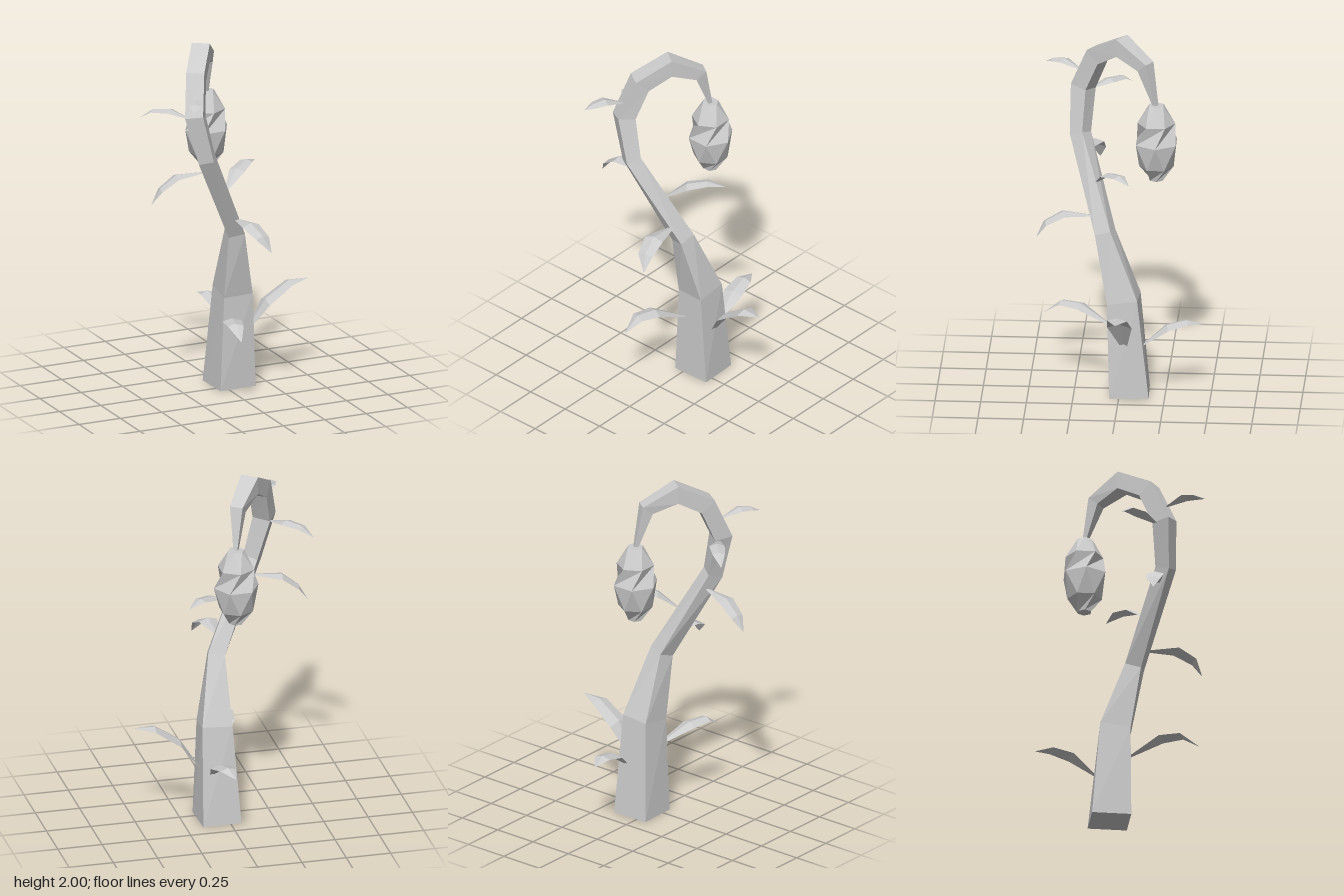
import * as THREE from 'three';

const material = new THREE.MeshStandardMaterial({ color: 0xcccccc, flatShading: true });
const leafMaterial = new THREE.MeshStandardMaterial({ color: 0xcccccc, flatShading: true, side: THREE.DoubleSide });
const V = (x, y, z) => new THREE.Vector3(x, y, z);

function build(points, index, mat, name) {
  const indexed = new THREE.BufferGeometry().setFromPoints(points);
  indexed.setIndex(index);
  const geometry = indexed.toNonIndexed();
  geometry.computeVertexNormals();
  const mesh = new THREE.Mesh(geometry, mat);
  mesh.name = name;
  return mesh;
}

// Skin a list of equal-sized rings (counter-clockwise about the path) and cap both ends
function loft(rings, name) {
  const n = rings[0].length, index = [];
  for (let r = 0; r < rings.length - 1; r++) {
    for (let i = 0; i < n; i++) {
      const a = r * n + i, b = r * n + (i + 1) % n;
      index.push(a, b, b + n, a, b + n, a + n);
    }
  }
  const last = (rings.length - 1) * n;
  for (let i = 1; i < n - 1; i++) {
    index.push(0, i + 1, i, last, last + i, last + i + 1);
  }
  return build(rings.flat(), index, material, name);
}

// Four-sided stem: x, y, z, half width, yaw of the side direction
function makeStem() {
  const path = [
    [0.052, 0, -0.053, 0.108, -0.03],
    [0.058, 0.55, -0.022, 0.084, 0.05],
    [0.022, 0.92, 0.082, 0.046, 0.2],
    [-0.218, 1.41, 0.232, 0.042, 0.5],
    [-0.283, 1.66, 0.22, 0.05, 0.57],
    [-0.24, 1.86, 0.14, 0.05, 0.57],
    [-0.145, 1.95, 0.0, 0.05, 0.57],
    [-0.045, 1.87, -0.135, 0.036, 0.57],
    [-0.018, 1.64, -0.195, 0.01, 0.57],
  ];
  const centres = path.map(p => V(p[0], p[1], p[2]));
  const rings = path.map(([, , , half, yaw], i) => {
    const c = centres[i];
    const before = centres[Math.max(i - 1, 0)], after = centres[Math.min(i + 1, path.length - 1)];
    // The base ring lies flat; the others bisect the bend
    const tangent = i === 0 ? V(0, 1, 0)
      : c.clone().sub(before).normalize().add(after.clone().sub(c).normalize()).normalize();
    const side = V(Math.cos(yaw), 0, Math.sin(yaw));
    side.addScaledVector(tangent, -side.dot(tangent)).normalize();
    const normal = tangent.clone().cross(side);
    return [[1, 1], [-1, 1], [-1, -1], [1, -1]].map(([s, n]) =>
      c.clone().addScaledVector(side, s * half).addScaledVector(normal, n * half));
  });
  return loft(rings, 'stem');
}

// Faceted hanging bud: height, radius, twist of each six-sided ring
function makeBud() {
  const rings = [
    [1.22, 0.04, 0], [1.3, 0.095, 0.5], [1.44, 0.126, 0], [1.55, 0.104, 0.5], [1.655, 0.045, 0],
  ].map(([y, r, twist]) => Array.from({ length: 6 }, (_, i) => {
    const a = -(i + twist) * Math.PI / 3;
    return V(-0.02 + r * Math.cos(a), y, -0.196 + r * Math.sin(a));
  }));
  return loft(rings, 'bud');
}

// Creased leaf: spine points from root to tip, with the edges drooping below the spine
function makeLeaf(spine, width) {
  const pts = spine.map(p => V(...p));
  const along = pts[3].clone().sub(pts[0]);
  const side = V(along.z, 0, -along.x).normalize();
  const widths = [0.15, 1, 0.8, 0.03];
  const points = [], index = [];
  pts.forEach((p, i) => {
    const half = widths[i] * width / 2;
    for (const s of [-1, 0, 1]) {
      points.push(p.clone().addScaledVector(side, s * half).add(V(0, -0.3 * half * Math.abs(s), 0)));
    }
    if (i < 3) {
      for (const k of [0, 1]) {
        const a = i * 3 + k;
        index.push(a, a + 1, a + 4, a, a + 4, a + 3);
      }
    }
  });
  return build(points, index, leafMaterial, 'leaf');
}

export function createModel() {
  const group = new THREE.Group();
  group.name = 'curledPlant';
  group.add(makeStem(), makeBud());

  const leaves = new THREE.Group();
  leaves.name = 'leaves';
  const spines = [
    [[[0.13, 0.28, -0.03], [0.25, 0.47, -0.01], [0.39, 0.56, -0.005], [0.505, 0.56, 0]], 0.135],
    [[[0.1, 0.29, -0.12], [0.085, 0.41, -0.26], [0.07, 0.435, -0.37], [0.05, 0.405, -0.46]], 0.115],
    [[[0.02, 0.37, 0.04], [-0.06, 0.47, 0.22], [-0.09, 0.475, 0.33], [-0.1, 0.4, 0.425]], 0.11],
    [[[0, 1.01, 0.13], [0.01, 1.035, 0.31], [0.035, 0.985, 0.41], [0.065, 0.9, 0.457]], 0.11],
    [[[-0.2, 1.325, 0.19], [-0.37, 1.32, 0.16], [-0.46, 1.25, 0.145], [-0.508, 1.165, 0.14]], 0.1],
    [[[-0.3, 1.64, 0.18], [-0.37, 1.675, 0.08], [-0.44, 1.665, 0.01], [-0.497, 1.61, -0.038]], 0.085],
    [[[-0.28, 1.755, 0.23], [-0.33, 1.8, 0.325], [-0.36, 1.79, 0.385], [-0.387, 1.76, 0.432]], 0.085],
    [[[-0.06, 1.18, 0.14], [0.04, 1.275, 0.07], [0.13, 1.295, 0.0], [0.207, 1.265, -0.057]], 0.095],
  ];
  for (const [spine, width] of spines) leaves.add(makeLeaf(spine, width));
  group.add(leaves);
  return group;
}
